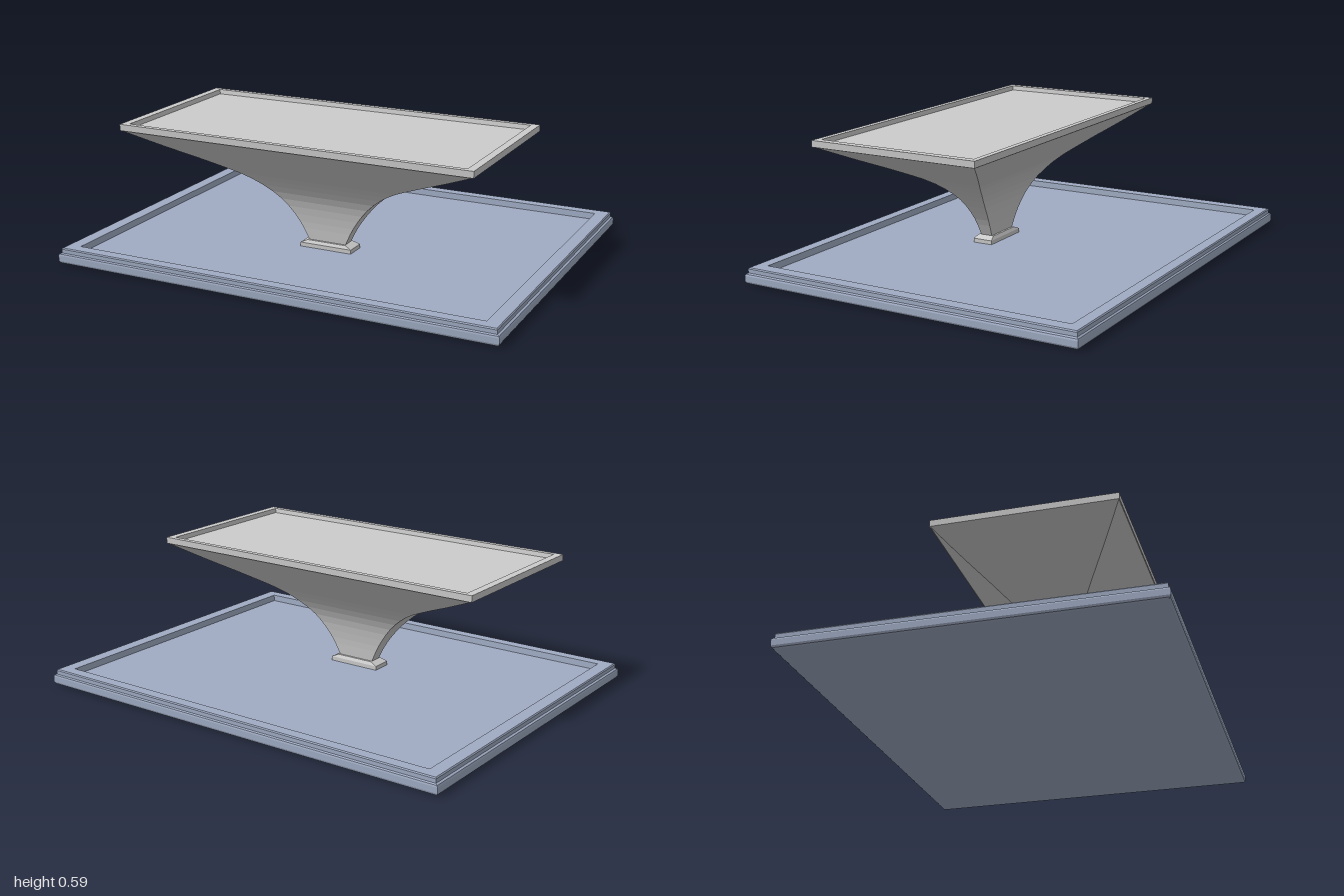
import * as THREE from 'three';

const grey = new THREE.MeshStandardMaterial({ color: 0xcccccc, flatShading: true });
const blue = new THREE.MeshStandardMaterial({ color: 0xa0acc4, flatShading: true });

// Stacks rectangular rings [halfWidth, halfDepth, y] into a closed solid
function rectLoft(name, rings, material) {
  const pos = [];
  const corners = rings.map(([w, d, y]) =>
    [[w, y, d], [w, y, -d], [-w, y, -d], [-w, y, d]]);
  const quad = (a, b, c, d) => pos.push(...a, ...b, ...c, ...a, ...c, ...d);
  for (let i = 0; i < corners.length - 1; i++) {
    const lo = corners[i], hi = corners[i + 1];
    for (let j = 0; j < 4; j++) {
      const k = (j + 1) % 4;
      quad(lo[j], lo[k], hi[k], hi[j]);
    }
  }
  const bottom = corners[0], top = corners[corners.length - 1];
  quad(bottom[3], bottom[2], bottom[1], bottom[0]);
  quad(...top);
  const geometry = new THREE.BufferGeometry();
  geometry.setAttribute('position', new THREE.Float32BufferAttribute(pos, 3));
  geometry.computeVertexNormals();
  const mesh = new THREE.Mesh(geometry, material);
  mesh.name = name;
  return mesh;
}

export function createModel() {
  const model = new THREE.Group();
  model.name = 'pedestalDisplay';

  // Base tray: rounded lower edge, stepped side, raised rim, sunken floor
  model.add(rectLoft('baseTray', [
    [0.988, 0.762, 0], [0.996, 0.769, 0.004], [1, 0.772, 0.012],
    [1, 0.772, 0.036], [0.997, 0.77, 0.043], [0.988, 0.763, 0.047],
    [0.988, 0.763, 0.064], [0.984, 0.759, 0.069],
    [0.927, 0.71, 0.069], [0.925, 0.708, 0.04],
  ], blue));

  // Everything grey stands towards the front of the tray
  const stand = new THREE.Group();
  stand.name = 'stand';
  stand.position.z = 0.168;
  model.add(stand);

  // Foot plate
  stand.add(rectLoft('footPlate', [
    [0.122, 0.046, 0.038], [0.122, 0.046, 0.058], [0.092, 0.037, 0.071],
  ], grey));

  // Flaring pedestal, swept along a smooth profile
  const profile = new THREE.CatmullRomCurve3([
    [0.085, 0.027, 0.065], [0.128, 0.036, 0.15], [0.205, 0.06, 0.25],
    [0.32, 0.115, 0.34], [0.47, 0.2, 0.415], [0.64, 0.298, 0.49],
    [0.8, 0.388, 0.563],
  ].map((p) => new THREE.Vector3(...p)));
  stand.add(rectLoft('pedestal',
    profile.getPoints(18).map((p) => [p.x, p.y, p.z]), grey));

  // Top platform with a shallow recess inside its rim
  stand.add(rectLoft('platform', [
    [0.802, 0.39, 0.562], [0.802, 0.39, 0.59],
    [0.768, 0.366, 0.59], [0.764, 0.362, 0.57],
  ], grey));

  return model;
}
